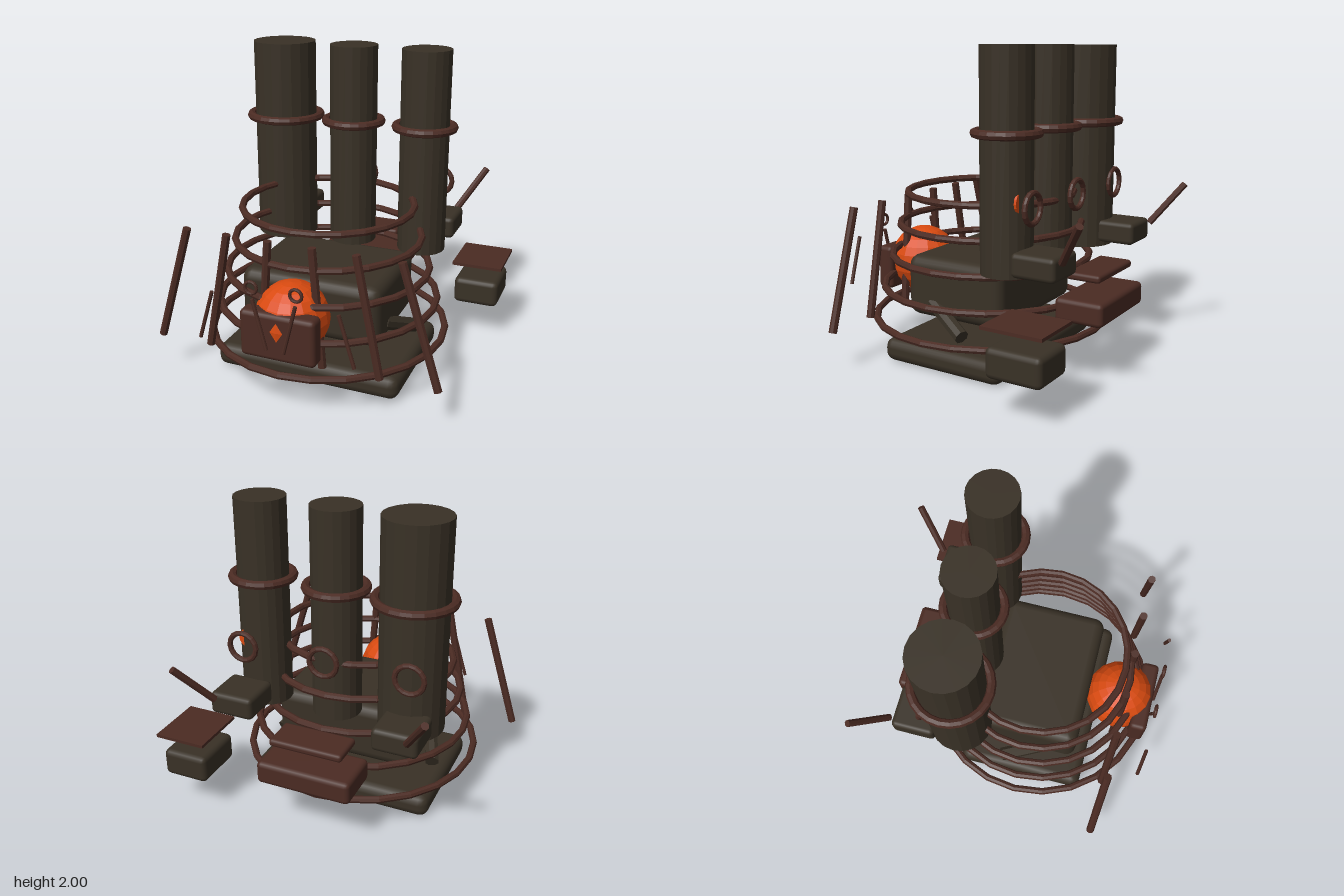
import * as THREE from 'three';
import { RoundedBoxGeometry } from 'three/addons/geometries/RoundedBoxGeometry.js';

const CX = -0.035; // x of the symmetry line

const material = (name, color) => {
  const m = new THREE.MeshStandardMaterial({ color });
  m.name = name;
  return m;
};

// Faceted copy of a geometry
const faceted = (g) => {
  const f = g.index ? g.toNonIndexed() : g;
  f.computeVertexNormals();
  return f;
};

export function createModel() {
  const root = new THREE.Group();
  root.name = 'machine';
  const iron = material('dark iron', 0x393126);
  const rust = material('rust brown', 0x4b2b23);
  const glow = material('glowing orange', 0xd94a10);

  const add = (name, geo, mat, x = 0, y = 0, z = 0) => {
    const m = new THREE.Mesh(geo, mat);
    m.name = name;
    m.position.set(x, y, z);
    root.add(m);
    return m;
  };

  // Rounded box given by its minimum and maximum corners
  const block = (name, mat, a, b, r) => add(name,
    new RoundedBoxGeometry(b[0] - a[0], b[1] - a[1], b[2] - a[2], 2, r), mat,
    (a[0] + b[0]) / 2, (a[1] + b[1]) / 2, (a[2] + b[2]) / 2);

  // Round bar between two points
  const bar = (name, mat, a, b, r, sides = 8) => {
    const p = new THREE.Vector3(...a), q = new THREE.Vector3(...b);
    const d = q.clone().sub(p);
    const m = add(name, faceted(new THREE.CylinderGeometry(r, r, d.length(), sides)), mat);
    m.position.copy(p).add(q).multiplyScalar(0.5);
    m.quaternion.setFromUnitVectors(new THREE.Vector3(0, 1, 0), d.normalize());
    return m;
  };

  // Ring given by its outer radius; flat ones lie level, others face forward
  const ring = (name, outer, tube, x, y, z, flat, segments = 24) => {
    const m = add(name, faceted(new THREE.TorusGeometry(outer - tube, tube, 8, segments)), rust, x, y, z);
    if (flat) m.rotation.x = Math.PI / 2;
    return m;
  };

  // Base plate and main body
  block('basePlate', iron, [-0.65, 0, -0.32], [0.58, 0.15, 0.55], 0.06);
  block('body', iron, [-0.5, 0.285, -0.24], [0.43, 0.68, 0.47], 0.07);

  // Stacked cage hoops
  [0.785, 0.727, 0.672, 0.617, 0.565].forEach((r, i) =>
    ring('cageHoop', r, 0.023, CX, 0.245 + i * 0.204, 0.12, true));

  // Chimneys with collars
  for (const [x, r] of [[-0.525, 0.205], [CX, 0.155], [0.453, 0.158]]) {
    add('chimney', faceted(new THREE.CylinderGeometry(r, r, 1.32, 20)), iron, x, 1.34, -0.305);
    ring('chimneyCollar', r + 0.056, 0.028, x, 1.505, -0.305, true);
  }

  // Rear portholes with ember discs
  for (const dx of [-0.54, 0, 0.54]) {
    ring('portholeRing', 0.107, 0.017, CX + dx, 1.095, -0.508, false, 16);
    const disc = add('ember', faceted(new THREE.CylinderGeometry(0.065, 0.065, 0.015, 16)), glow,
      CX + dx, 1.12, -0.43);
    disc.rotation.x = Math.PI / 2;
  }

  // Furnace ball and the panel it pokes through
  add('furnaceBall', faceted(new THREE.SphereGeometry(0.228, 16, 12)), glow, CX, 0.53, 0.68);
  block('frontPanel', rust, [-0.275, 0.34, 0.785], [0.203, 0.637, 0.9], 0.03);

  for (const s of [-1, 1]) {
    const X = (d) => CX + s * d;

    // Fanned front bars
    for (const [top, bottom] of [[0.14, 0.2], [0.41, 0.56], [0.68, 0.91]]) {
      bar('grilleBar', rust, [X(top), 1.0, 0.7], [X(bottom), 0.245, 0.7], 0.026);
    }

    // Slanted legs
    for (const [top, bottom] of [[0.13, 0.16], [0.43, 0.55]]) {
      bar('leg', iron, [X(top), 0.385, 0.28], [X(bottom), 0.245, -0.02], 0.046);
    }

    // Thin front tools and small rings
    bar('innerTool', rust, [X(0.135), 0.73, 0.92], [X(0.055), 0.42, 0.92], 0.012);
    bar('outerTool', rust, [X(0.395), 0.73, 0.92], [X(0.488), 0.42, 0.92], 0.012);
    ring('toolRing', 0.047, 0.01, X(0.14), 0.8, 0.92, false, 14);

    // Rear side boxes with slanted rods
    const side = add('rearBox', new RoundedBoxGeometry(0.283, 0.145, 0.285, 2, 0.03), iron,
      X(0.528), 0.783, -0.575);
    bar('rearRod', rust, [side.position.x + s * 0.09, 0.83, -0.74], [X(0.775), 1.085, -0.92], 0.023);
  }

  // Rear brown chest with a floating lid
  block('rearChest', rust, [-0.34, 0.37, -0.835], [0.268, 0.517, -0.52], 0.03);
  block('rearChestLid', rust, [-0.272, 0.618, -0.785], [0.2, 0.667, -0.56], 0.02);

  // Separate corner box under a thin plate
  block('cornerBox', iron, [0.652, 0.235, -0.818], [0.953, 0.415, -0.467], 0.035);
  add('cornerPlate', new THREE.BoxGeometry(0.335, 0.02, 0.382), rust, 0.806, 0.528, -0.646);

  return root;
}
